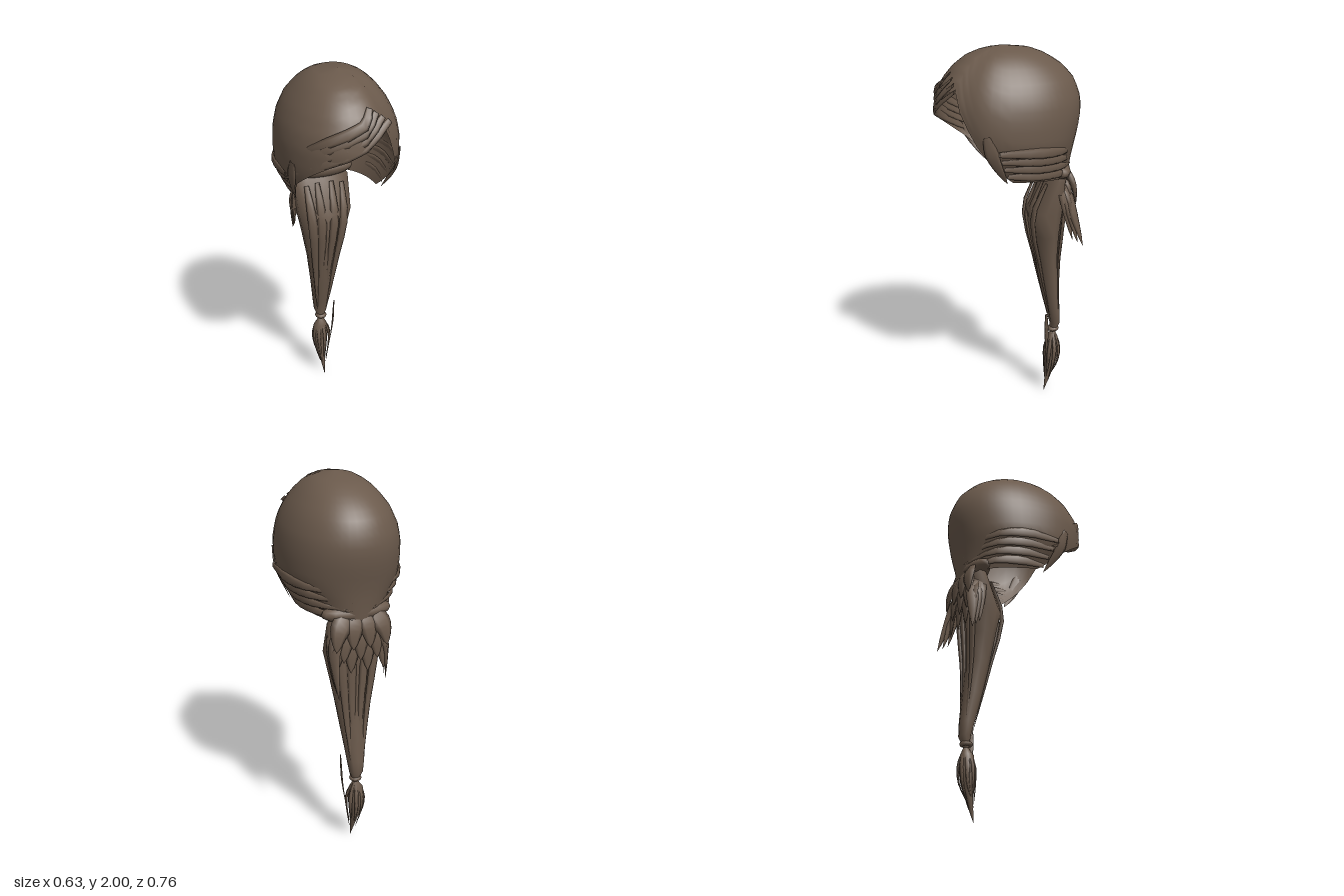
import * as THREE from 'three';

const hair = new THREE.MeshStandardMaterial({ color: 0x6b5a4c, side: THREE.DoubleSide });
hair.name = 'brown hair';

// Piecewise linear lookup in rows sorted by their first value
function lookup(rows, t) {
  let i = 0;
  while (i < rows.length - 2 && t > rows[i + 1][0]) i++;
  const a = rows[i], b = rows[i + 1];
  const k = THREE.MathUtils.clamp((t - a[0]) / (b[0] - a[0]), 0, 1);
  return a.map((v, n) => v + (b[n] - v) * k);
}

// Surface through rings of points; ring(i, j) returns [x, y, z], top row first
function loft(name, rows, cols, ring) {
  const pos = [], index = [];
  for (let i = 0; i < rows; i++) {
    for (let j = 0; j < cols; j++) pos.push(...ring(i, j));
  }
  for (let i = 0; i < rows - 1; i++) {
    for (let j = 0; j < cols; j++) {
      const a = i * cols + j, d = i * cols + (j + 1) % cols;
      index.push(a, a + cols, d + cols, a, d + cols, d);
    }
  }
  const g = new THREE.BufferGeometry();
  g.setAttribute('position', new THREE.Float32BufferAttribute(pos, 3));
  g.setIndex(index);
  g.computeVertexNormals();
  const m = new THREE.Mesh(g, hair);
  m.name = name;
  return m;
}

// Leaf shaped lock along a curve, flattened against the normal direction
function lock(name, points, width, thick, normal) {
  const curve = new THREE.CatmullRomCurve3(points.map(p => new THREE.Vector3(...p)));
  const n = new THREE.Vector3(...normal).normalize();
  return loft(name, 9, 6, (i, j) => {
    const t = i / 8, a = j / 6 * Math.PI * 2;
    const s = t < 0.4 ? 0.5 + 0.5 * Math.sin(t / 0.4 * Math.PI / 2) : Math.pow((1 - t) / 0.6, 0.7);
    const side = curve.getTangent(t).cross(n).normalize();
    return curve.getPoint(t)
      .addScaledVector(side, Math.cos(a) * width * s)
      .addScaledVector(n, Math.sin(a) * thick * s).toArray();
  });
}

// Elliptical sections [y, centre x, centre z, radius x, radius z]
function column(name, sections, sides) {
  return loft(name, sections.length, sides, (i, j) => {
    const [y, cx, cz, rx, rz] = sections[i], a = j / sides * Math.PI * 2;
    return [cx + rx * Math.sin(a), y, cz + rz * Math.cos(a)];
  });
}

export function createModel() {
  const model = new THREE.Group();
  model.name = 'hairstyle';

  // Cap outline: y, half width, front z, back z
  const profile = [
    [1.3, 0.2, 0.28, -0.32], [1.4, 0.245, 0.3, -0.33], [1.5, 0.305, 0.345, -0.345],
    [1.58, 0.312, 0.37, -0.365], [1.68, 0.307, 0.383, -0.38], [1.76, 0.288, 0.37, -0.37],
    [1.84, 0.25, 0.33, -0.335], [1.9, 0.205, 0.28, -0.275], [1.95, 0.155, 0.215, -0.2],
    [1.98, 0.1, 0.14, -0.12], [2, 0, 0.03, 0.03]];
  // Lower edge height by angle from the front, with the parting on the left
  const edge = [
    [-180, 1.3], [-100, 1.34], [-80, 1.36], [-60, 1.48], [-40, 1.57], [-18, 1.64], [0, 1.69],
    [15, 1.76], [28, 1.82], [38, 1.7], [55, 1.52], [70, 1.4], [82, 1.34], [180, 1.3]];
  model.add(loft('hairCap', 18, 48, (i, j) => {
    const deg = -180 + j * 7.5, a = deg * Math.PI / 180;
    const low = lookup(edge, deg)[1];
    const y = 2 - (2 - low) * Math.pow(i / 17, 1.6);
    const [, w, front, back] = lookup(profile, y);
    const dent = 1 - 0.06 * Math.exp(-(((deg - 42) / 14) ** 2));
    const mid = (front + back) / 2, half = (front - back) / 2;
    const sq = v => Math.sign(v) * Math.pow(Math.abs(v), 0.94);
    return [w * sq(Math.sin(a)) * dent, y, mid + half * sq(Math.cos(a)) * dent];
  }));

  // Fringe swept from the parting to the right temple
  for (let k = 0; k < 4; k++) {
    const d = k * 0.035;
    model.add(lock('fringeLock', [
      [0.17 - d, 1.81 + d * 0.7, 0.31], [0.02, 1.71 + d, 0.37 - d * 0.1],
      [-0.15, 1.64 + d, 0.335], [-0.26, 1.54 + d, 0.2], [-0.3, 1.47 + d, 0.07]],
      0.03, 0.008, [-0.4, 0.2, 1]));
  }

  // Side hair drawn back to the nape
  for (const s of [-1, 1]) {
    for (let k = 0; k < 4; k++) {
      const y = 1.38 + k * 0.045, x = 0.235 + k * 0.022;
      model.add(lock('sideLock', [
        [s * x, y, 0.06 + k * 0.02], [s * (x + 0.005), y - 0.005, -0.08],
        [s * x * 0.8, y - 0.02, -0.23], [s * 0.05, y - 0.05, -0.33]],
        0.028, 0.009, [s, 0, -0.5]));
    }
    model.add(lock('templeLock', [
      [s * 0.28, 1.6, 0.18], [s * 0.275, 1.48, 0.14], [s * 0.23, 1.34, 0.06]],
      0.035, 0.008, [s, 0, 0.4]));
  }

  // Gathered roll at the nape
  const roll = new THREE.Mesh(new THREE.SphereGeometry(1, 16, 10), hair);
  roll.name = 'napeRoll';
  roll.scale.set(0.19, 0.055, 0.07);
  roll.position.set(0, 1.35, -0.255);
  model.add(roll);

  // Long flat tail narrowing to a tie
  model.add(column('ponytail', [
    [1.34, 0, -0.26, 0.13, 0.04], [1.3, 0, -0.255, 0.16, 0.05], [1.12, 0, -0.2, 0.155, 0.095],
    [0.98, 0, -0.205, 0.125, 0.075], [0.83, 0, -0.215, 0.095, 0.06], [0.65, 0, -0.24, 0.068, 0.05],
    [0.5, 0, -0.265, 0.048, 0.038], [0.43, 0, -0.275, 0.038, 0.03], [0.37, 0, -0.265, 0.014, 0.014]], 10));
  for (const [x, y] of [[-0.1, 1.28], [-0.04, 1.29], [0.04, 1.29], [0.1, 1.28]]) {
    for (const s of [-1, 1]) {
      model.add(lock('tailStrand', [
        [x, y, -0.23 + s * 0.045], [x * 0.9, 1.1, -0.2 + s * 0.085],
        [x * 0.6, 0.8, -0.22 + s * 0.053], [x * 0.25, 0.42, -0.27 + s * 0.02]],
        0.026, 0.01, [x * 2, 0, s]));
    }
  }

  // Tie and pointed tuft
  const tie = new THREE.Mesh(new THREE.TorusGeometry(0.022, 0.012, 8, 14), hair);
  tie.name = 'tailTie';
  tie.rotation.x = Math.PI / 2;
  tie.position.set(0, 0.39, -0.265);
  model.add(tie);
  model.add(column('tuft', [
    [0.37, 0, -0.265, 0.014, 0.014], [0.33, -0.005, -0.262, 0.038, 0.034],
    [0.26, -0.008, -0.262, 0.046, 0.042], [0.18, -0.005, -0.255, 0.034, 0.035],
    [0.1, 0, -0.24, 0.016, 0.018], [0, 0.005, -0.215, 0.001, 0.001]], 10));
  for (let k = 0; k < 9; k++) {
    const a = k / 9 * Math.PI * 2, c = Math.cos(a), s = Math.sin(a);
    model.add(lock('tuftStrand', [
      [c * 0.012, 0.37, -0.265 + s * 0.012], [c * 0.05, 0.28, -0.262 + s * 0.042],
      [c * 0.042, 0.18, -0.255 + s * 0.04], [c * 0.018, 0.06 + (k % 3) * 0.025, -0.235 + s * 0.012]],
      0.012, 0.005, [c, 0, s]));
  }
  model.add(lock('looseWisp', [[0.062, 0.51, -0.207], [0.055, 0.36, -0.212], [0.035, 0.2, -0.22]],
    0.012, 0.005, [1, 0, 0.6]));

  // Overlapping locks flaring out behind the tail
  for (let row = 0; row < 3; row++) {
    for (let k = 0; k < 4 - row % 2; k++) {
      const x = (k - (3 - row % 2) / 2) * 0.085, top = 1.37 - row * 0.05;
      model.add(lock('backLock', [
        [x * 0.5, top, -0.29 + row * 0.012], [x * 0.95, top - 0.1, -0.325 + row * 0.012],
        [x * 1.1, top - 0.2 - row * 0.02, -0.335 + row * 0.015]],
        0.055, 0.018, [x, 0.25, -1]));
    }
  }
  for (const s of [-1, 1]) {
    for (let k = 0; k < 3; k++) {
      model.add(lock('flaredLock', [
        [s * 0.07, 1.33, -0.27], [s * 0.14, 1.2 - k * 0.02, -0.27 - k * 0.02],
        [s * 0.145, 0.97 + (s < 0 ? 0.04 : 0) - k * 0.02, s > 0 ? -0.32 - k * 0.03 : -0.27 - k * 0.02]],
        0.04, 0.014, [s, 0, -0.6]));
    }
  }
  return model;
}
